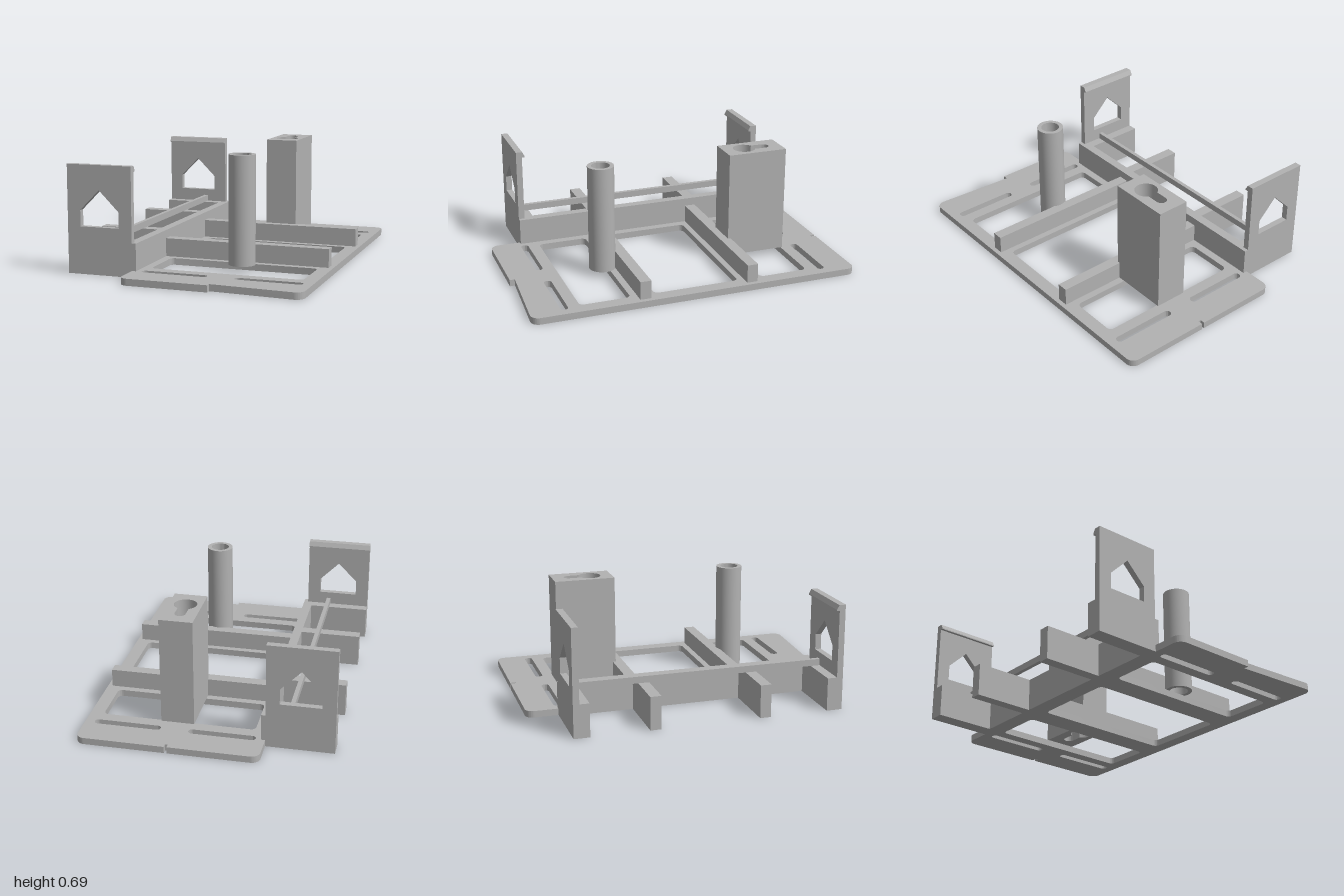
import * as THREE from 'three';
import { toCreasedNormals } from 'three/addons/utils/BufferGeometryUtils.js';

const grey = new THREE.MeshStandardMaterial({ color: 0xb2b2b2 });
grey.name = 'grey plastic';

function add(parent, name, geometry) {
  const mesh = new THREE.Mesh(geometry, grey);
  mesh.name = name;
  parent.add(mesh);
  return mesh;
}

// Box given by its limits on each axis
function block(parent, name, x0, x1, y0, y1, z0, z1) {
  const mesh = add(parent, name, new THREE.BoxGeometry(x1 - x0, y1 - y0, z1 - z0));
  mesh.position.set((x0 + x1) / 2, (y0 + y1) / 2, (z0 + z1) / 2);
  return mesh;
}

// Rounded rectangle in plan; the shape's y is -z of the model
function roundedRect(x0, x1, z0, z1, r) {
  const p = new THREE.Path();
  const a = -z1, b = -z0;
  p.absarc(x1 - r, a + r, r, -Math.PI / 2, 0);
  p.absarc(x1 - r, b - r, r, 0, Math.PI / 2);
  p.absarc(x0 + r, b - r, r, Math.PI / 2, Math.PI);
  p.absarc(x0 + r, a + r, r, Math.PI, Math.PI * 1.5);
  p.closePath();
  return p;
}

// Extrude a plan shape upwards from y0 to y1
function plan(shape, y0, y1) {
  const g = new THREE.ExtrudeGeometry(shape, { depth: y1 - y0, bevelEnabled: false, curveSegments: 10 });
  g.rotateX(-Math.PI / 2);
  g.translate(0, y0, 0);
  return toCreasedNormals(g, 0.6);
}

export function createModel() {
  const model = new THREE.Group();
  model.name = 'mountingBracket';

  // Base plate with centre notches at both ends
  const L = -0.335, R = 0.73, r = 0.05, n = 0.008;
  const base = new THREE.Shape();
  base.moveTo(0.2 + n, -1);
  base.absarc(R - r, -1 + r, r, -Math.PI / 2, 0);
  base.absarc(R - r, 1 - r, r, 0, Math.PI / 2);
  base.lineTo(0.2 + n, 1);
  base.lineTo(0.2 + n, 0.97);
  base.lineTo(0.2 - n, 0.97);
  base.lineTo(0.2 - n, 1);
  base.absarc(L + r, 1 - r, r, Math.PI / 2, Math.PI);
  base.absarc(L + r, -1 + r, r, Math.PI, Math.PI * 1.5);
  base.lineTo(0.2 - n, -1);
  base.lineTo(0.2 - n, -0.97);
  base.lineTo(0.2 + n, -0.97);
  base.closePath();
  for (const [z0, z1] of [[-0.71, -0.41], [-0.265, 0.257], [0.402, 0.705]])
    base.holes.push(roundedRect(-0.26, 0.65, z0, z1, 0.03));
  for (const z of [-0.803, 0.797])
    for (const [x0, x1] of [[-0.28, 0.115], [0.278, 0.675]])
      base.holes.push(roundedRect(x0, x1, z - 0.023, z + 0.023, 0.0229));
  add(model, 'basePlate', plan(base, 0, 0.04));

  // Side wall along the plate
  block(model, 'sideWall', -0.365, -0.31, 0, 0.2, -0.81, 0.81);

  // Cross ribs on the plate and their taller arms outside it
  for (const z of [-0.335, 0.328]) {
    block(model, 'crossRib', -0.31, 0.703, 0.04, 0.15, z - 0.033, z + 0.033);
    block(model, 'supportArm', -0.735, -0.365, 0, 0.2, z - 0.033, z + 0.033);
  }

  // Narrow rail resting on the arms
  block(model, 'rail', -0.487, -0.462, 0.2, 0.24, -0.772, 0.772);

  // End clips, mirrored front and back
  const face = new THREE.Shape([[-0.735, 0], [-0.335, 0], [-0.335, 0.64], [-0.735, 0.64]]
    .map(([x, y]) => new THREE.Vector2(x, y)));
  face.holes.push(new THREE.Path([[-0.655, 0.28], [-0.655, 0.375], [-0.535, 0.495], [-0.415, 0.375], [-0.415, 0.28]]
    .map(([x, y]) => new THREE.Vector2(x, y))));
  const hook = new THREE.Shape([[0.775, 0.605], [0.775, 0.64], [0.77, 0.64], [0.755, 0.612], [0.755, 0.605]]
    .map(([z, y]) => new THREE.Vector2(-z, y)));
  for (const s of [1, -1]) {
    const clip = new THREE.Group();
    clip.name = s > 0 ? 'frontClip' : 'backClip';
    const plate = new THREE.ExtrudeGeometry(face, { depth: 0.037, bevelEnabled: false });
    plate.translate(0, 0, s > 0 ? 0.773 : -0.81);
    add(clip, 'clipPlate', plate);
    const lip = new THREE.ExtrudeGeometry(hook, { depth: 0.4, bevelEnabled: false });
    lip.rotateY(Math.PI / 2);
    lip.translate(-0.735, 0, 0);
    if (s < 0) { // turn about the clip's middle
      lip.translate(0.535, 0, 0);
      lip.rotateY(Math.PI);
      lip.translate(-0.535, 0, 0);
    }
    add(clip, 'clipLip', lip);
    block(clip, 'clipFoot', -0.735, -0.365, 0, 0.2, s > 0 ? 0.715 : -0.773, s > 0 ? 0.773 : -0.715);
    model.add(clip);
  }

  // Hollow round post
  const ring = [[0.055, 0.04], [0.08, 0.04], [0.08, 0.69], [0.055, 0.69], [0.055, 0.04]];
  const post = add(model, 'hollowPost', toCreasedNormals(
    new THREE.LatheGeometry(ring.map(([x, y]) => new THREE.Vector2(x, y)), 40), 0.6));
  post.position.set(0.198, 0, 0.43);

  // Square tower with a keyhole running down it
  const tower = new THREE.Shape([[0.1, 0.35], [0.297, 0.35], [0.297, 0.72], [0.1, 0.72]]
    .map(([x, y]) => new THREE.Vector2(x, y)));
  const key = new THREE.Path();
  const half = 0.032, big = 0.068, t = Math.acos(half / big);
  key.absarc(0.198, 0.615, half, 0, Math.PI);
  key.absarc(0.198, 0.485, big, Math.PI - t, Math.PI * 2 + t);
  key.closePath();
  tower.holes.push(key);
  add(model, 'keyholeTower', plan(tower, 0.04, 0.69));

  return model;
}
